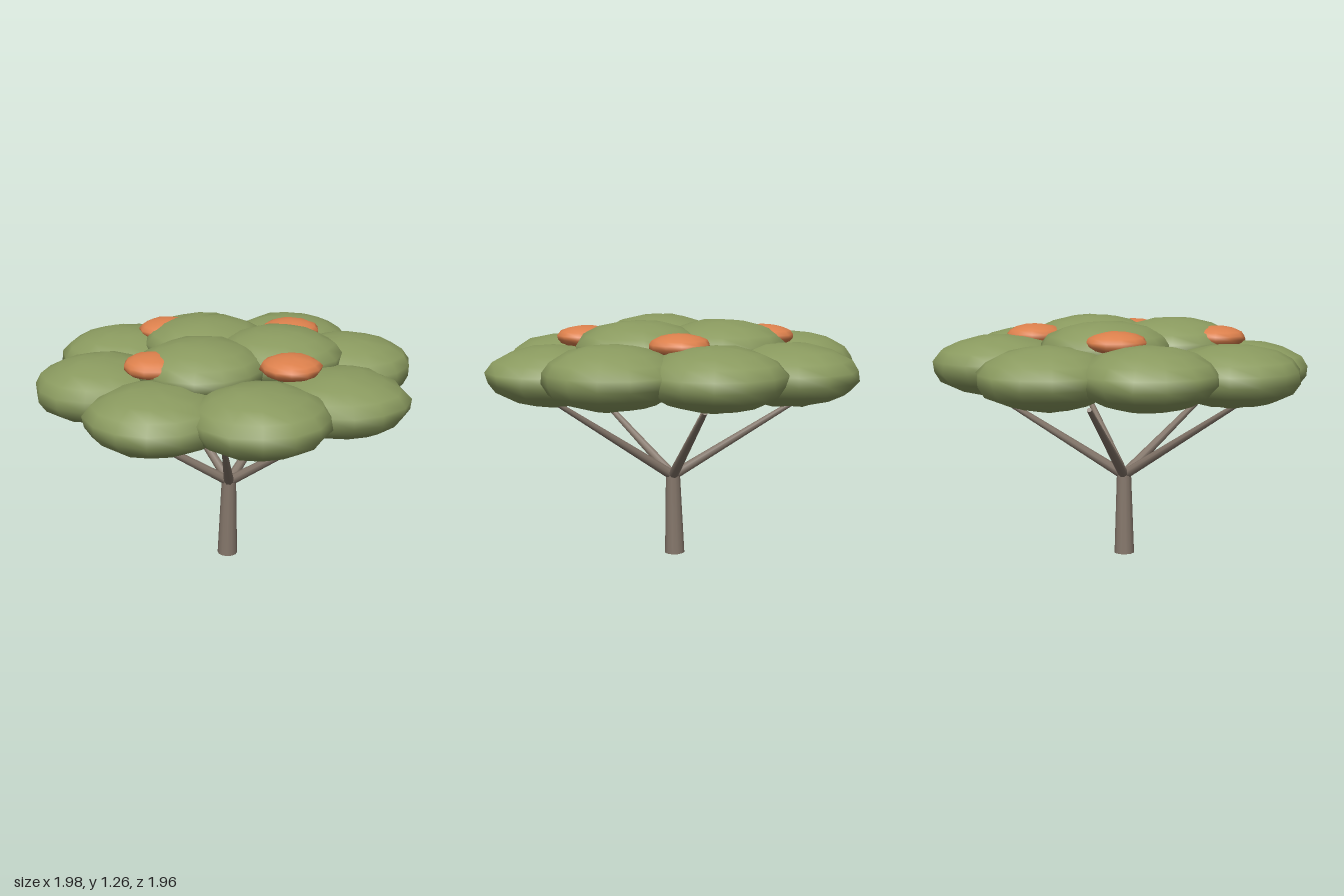
import * as THREE from 'three';
import { mergeVertices } from 'three/addons/utils/BufferGeometryUtils.js';

const mat = (name, color) => {
  const m = new THREE.MeshStandardMaterial({ color });
  m.name = name;
  return m;
};

// Small seeded generator for the lumpy outlines
function seeded(seed) {
  return () => {
    seed = (seed * 16807) % 2147483647;
    return seed / 2147483647;
  };
}

// Flattened sphere with gently uneven vertices and smooth normals
function lumpGeometry(rx, ry, seed, segments) {
  let geo = new THREE.SphereGeometry(1, segments, 9);
  geo.deleteAttribute('uv');
  geo.deleteAttribute('normal');
  geo = mergeVertices(geo, 1e-4);
  const rand = seeded(seed * 7919 + 13);
  const pos = geo.attributes.position;
  for (let i = 0; i < pos.count; i++) {
    const k = 0.975 + rand() * 0.06;
    pos.setXYZ(i, pos.getX(i) * rx * k, pos.getY(i) * ry * k, pos.getZ(i) * rx * k);
  }
  geo.computeVertexNormals();
  return geo;
}

// Tapered round limb between two points
function limb(name, from, to, r0, r1, sides, material) {
  const dir = to.clone().sub(from);
  const mesh = new THREE.Mesh(new THREE.CylinderGeometry(r1, r0, dir.length(), sides), material);
  mesh.name = name;
  mesh.position.copy(from).addScaledVector(dir, 0.5);
  mesh.quaternion.setFromUnitVectors(new THREE.Vector3(0, 1, 0), dir.normalize());
  return mesh;
}

export function createModel() {
  const bark = mat('bark', 0x84766a);
  const leaf = mat('leaf green', 0x8a9a5f);
  const bloom = mat('blossom orange', 0xdc804c);
  const tree = new THREE.Group();
  tree.name = 'flatToppedTree';

  // Trunk, leaning very slightly
  const fork = new THREE.Vector3(0.01, 0.435, 0);
  tree.add(limb('trunk', new THREE.Vector3(0, 0, 0), fork, 0.053, 0.038, 12, bark));

  // Five branches spreading evenly from the fork
  const branches = new THREE.Group();
  branches.name = 'branches';
  const start = new THREE.Vector3(0.01, 0.42, 0);
  for (let i = 0; i < 5; i++) {
    const a = 0.1 + (i * Math.PI * 2) / 5;
    const end = new THREE.Vector3(Math.sin(a) * 0.69, 0.87, -Math.cos(a) * 0.69);
    branches.add(limb('branch', start, end, 0.027, 0.012, 8, bark));
  }
  tree.add(branches);

  const addLumps = (groupName, name, list, rx, ry, material, segments) => {
    const group = new THREE.Group();
    group.name = groupName;
    list.forEach(([x, y, z], i) => {
      const mesh = new THREE.Mesh(lumpGeometry(rx, ry, i + list.length * 3, segments), material);
      mesh.name = name;
      mesh.position.set(x, y, z);
      mesh.rotation.y = i * 0.8;
      group.add(mesh);
    });
    tree.add(group);
  };

  // Ring of eight clumps, starting at +x and going round towards +z
  const heights = [0.98, 0.99, 0.97, 0.995, 1.01, 1.0, 1.02, 1.02];
  const ring = heights.map((y, i) => {
    const a = (i * Math.PI) / 4;
    return [Math.cos(a) * 0.64, y, Math.sin(a) * 0.64];
  });
  addLumps('outerCanopy', 'outerClump', ring, 0.345, 0.153, leaf, 14);

  // Three raised clumps in the middle
  addLumps('innerCanopy', 'innerClump',
    [[0.22, 1.115, -0.13], [-0.21, 1.11, -0.13], [0, 1.11, 0.25]], 0.33, 0.14, leaf, 14);

  // Four blossom clusters between the clumps
  addLumps('blossoms', 'blossomCluster',
    [[0.44, 1.157, 0.13], [-0.14, 1.157, 0.45], [-0.45, 1.16, -0.12], [0.12, 1.16, -0.45]],
    0.152, 0.058, bloom, 12);

  return tree;
}
